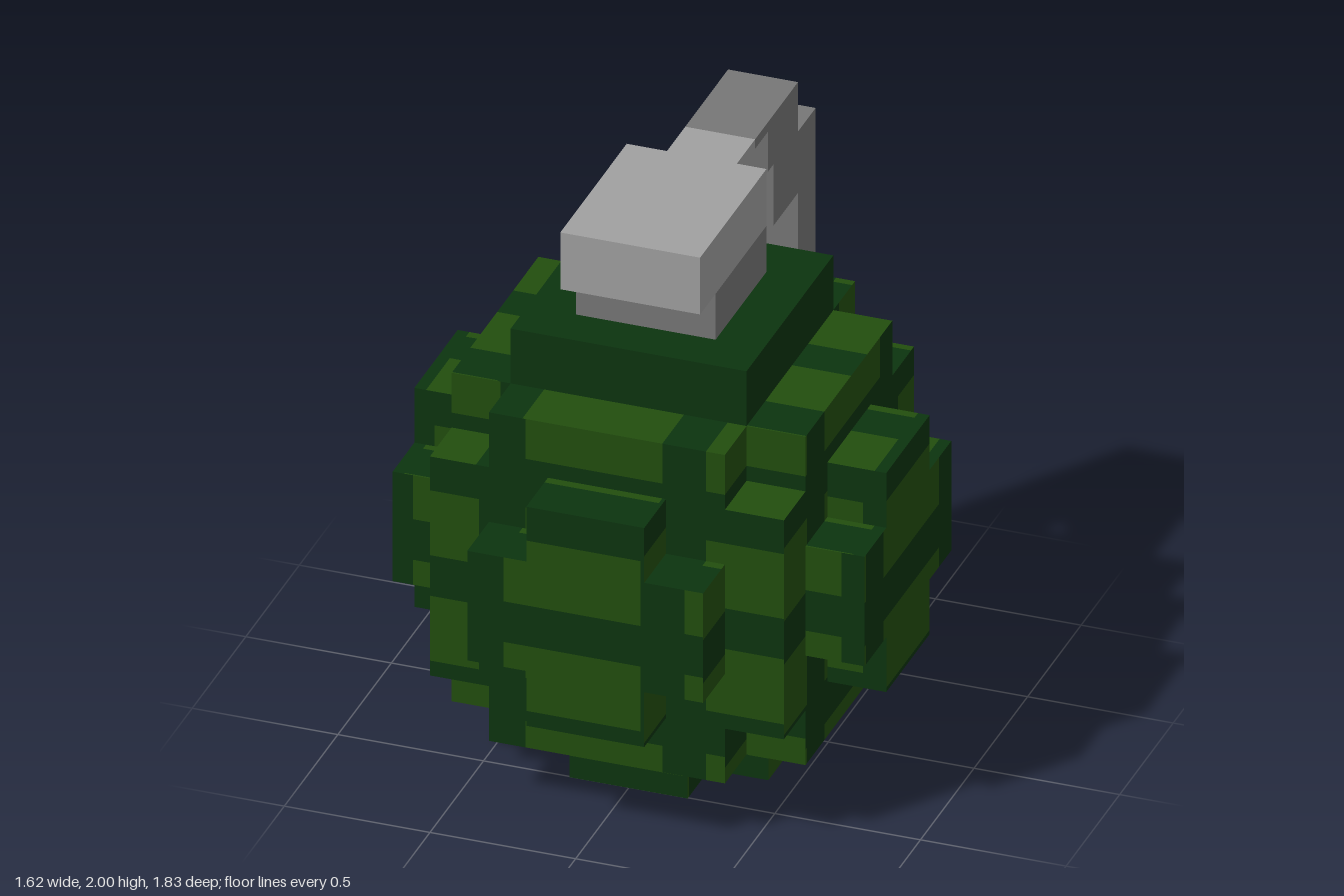
import * as THREE from 'three';

const U = 0.2025;                       // block size
const ORIGIN = [-4 * U, 0, 0.1 - 4 * U]; // lower corner of the 8 x 8 x 8 grid

// Light patch bands for faces across each axis: the bands along x, y and z
const BANDS = [
  { 1: [[0, 0.26], [0.42, 0.68], [0.84, 1.11], [1.27, 1.49]],
    2: [[-0.71, -0.36], [-0.19, 0.33], [0.49, 0.92]] },
  { 0: [[-0.77, -0.45], [-0.29, 0.19], [0.34, 0.77]],
    2: [[-0.72, -0.48], [-0.31, -0.07], [0.08, 0.33], [0.5, 0.74]] },
  { 0: [[-0.74, -0.44], [-0.28, 0.19], [0.34, 0.73]],
    1: [[0.08, 0.3], [0.46, 0.7], [0.85, 1.09], [1.27, 1.49]] },
];

// Blocky ball: a block is solid when its centre lies inside the sphere
const solid = (p) => {
  const [x, y, z] = p.map((n) => n - 3.5);
  if (y === 3.5) return Math.abs(x) < 2 && Math.abs(z) < 2; // under the collar
  return x * x + y * y + z * z < 16;
};

// Split a span wherever a band starts or ends
function split(lo, hi, bands) {
  const cuts = [lo, ...bands.flat().filter((v) => v > lo + 0.002 && v < hi - 0.002), hi];
  return cuts.slice(1).map((end, i) => {
    const mid = (cuts[i] + end) / 2;
    return { from: cuts[i], to: end, inside: bands.some(([s, e]) => mid > s && mid < e) };
  });
}

// Add one outer block face, cut into dark and light rectangles
function addFace(p, axis, sign, dark, light) {
  const b = (axis + 1) % 3, c = (axis + 2) % 3;
  const lo = p.map((n, i) => ORIGIN[i] + n * U);
  const level = lo[axis] + (sign > 0 ? U : 0);
  const point = (vb, vc) => {
    const q = [0, 0, 0];
    q[axis] = level; q[b] = vb; q[c] = vc;
    return q;
  };
  for (const s of split(lo[b], lo[b] + U, BANDS[axis][b])) {
    for (const t of split(lo[c], lo[c] + U, BANDS[axis][c])) {
      const k = [point(s.from, t.from), point(s.to, t.from), point(s.to, t.to), point(s.from, t.to)];
      if (sign < 0) k.reverse();
      const target = s.inside && t.inside ? light : dark;
      for (const i of [0, 1, 2, 0, 2, 3]) target.push(...k[i]);
    }
  }
}

function faceMesh(name, positions, material) {
  const g = new THREE.BufferGeometry();
  g.setAttribute('position', new THREE.Float32BufferAttribute(positions, 3));
  g.computeVertexNormals();
  const mesh = new THREE.Mesh(g, material);
  mesh.name = name;
  return mesh;
}

// Box from its limits on each axis
function box(name, material, [x0, x1], [y0, y1], [z0, z1]) {
  const mesh = new THREE.Mesh(new THREE.BoxGeometry(x1 - x0, y1 - y0, z1 - z0), material);
  mesh.position.set((x0 + x1) / 2, (y0 + y1) / 2, (z0 + z1) / 2);
  mesh.name = name;
  return mesh;
}

function mat(name, color) {
  const m = new THREE.MeshStandardMaterial({ color });
  m.name = name;
  return m;
}

export function createModel() {
  const darkGreen = mat('darkGreen', 0x0c340f);
  const lightGreen = mat('lightGreen', 0x224e0e);
  const lightGrey = mat('lightGrey', 0xa0a0a0);
  const darkGrey = mat('darkGrey', 0x777777);

  // Body shell with light patches
  const dark = [], light = [];
  for (let x = 0; x < 8; x++) for (let y = 0; y < 7; y++) for (let z = 0; z < 8; z++) {
    const p = [x, y, z];
    if (!solid(p)) continue;
    for (const axis of [0, 1, 2]) for (const sign of [-1, 1]) {
      const next = [...p];
      next[axis] += sign;
      if (!solid(next)) addFace(p, axis, sign, dark, light);
    }
  }
  const body = new THREE.Group();
  body.name = 'body';
  body.add(
    faceMesh('bodyShell', dark, darkGreen),
    faceMesh('bodyPatches', light, lightGreen),
    box('collar', darkGreen, [-2 * U, 2 * U], [7 * U, 8 * U], [0.1 - 2 * U, 0.1 + 2 * U]),
  );

  // Fuse stem and cap
  const fuse = new THREE.Group();
  fuse.name = 'fuse';
  fuse.add(
    box('stem', darkGrey, [-0.24, 0.24], [1.62, 1.79], [-0.13, 0.345]),
    box('cap', lightGrey, [-0.24, 0.24], [1.79, 2], [-0.13, 0.49]),
  );

  // Safety lever: worn light arm, dark elbow and hanging handle
  const w = [-0.12, 0.12];
  const lever = new THREE.Group();
  lever.name = 'lever';
  lever.add(
    box('armRoot', lightGrey, w, [1.787, 1.97], [-0.35, -0.13]),
    box('armWornSide', lightGrey, w, [1.787, 1.935], [-0.47, -0.35]),
    box('armTopEdge', darkGrey, w, [1.935, 1.97], [-0.47, -0.35]),
    box('armEnd', darkGrey, w, [1.787, 1.97], [-0.75, -0.47]),
    box('elbow', darkGrey, w, [1.56, 1.787], [-0.75, -0.52]),
    box('handle', darkGrey, w, [0.82, 1.787], [-0.915, -0.75]),
  );

  const model = new THREE.Group();
  model.name = 'grenade';
  model.add(body, fuse, lever);
  return model;
}
